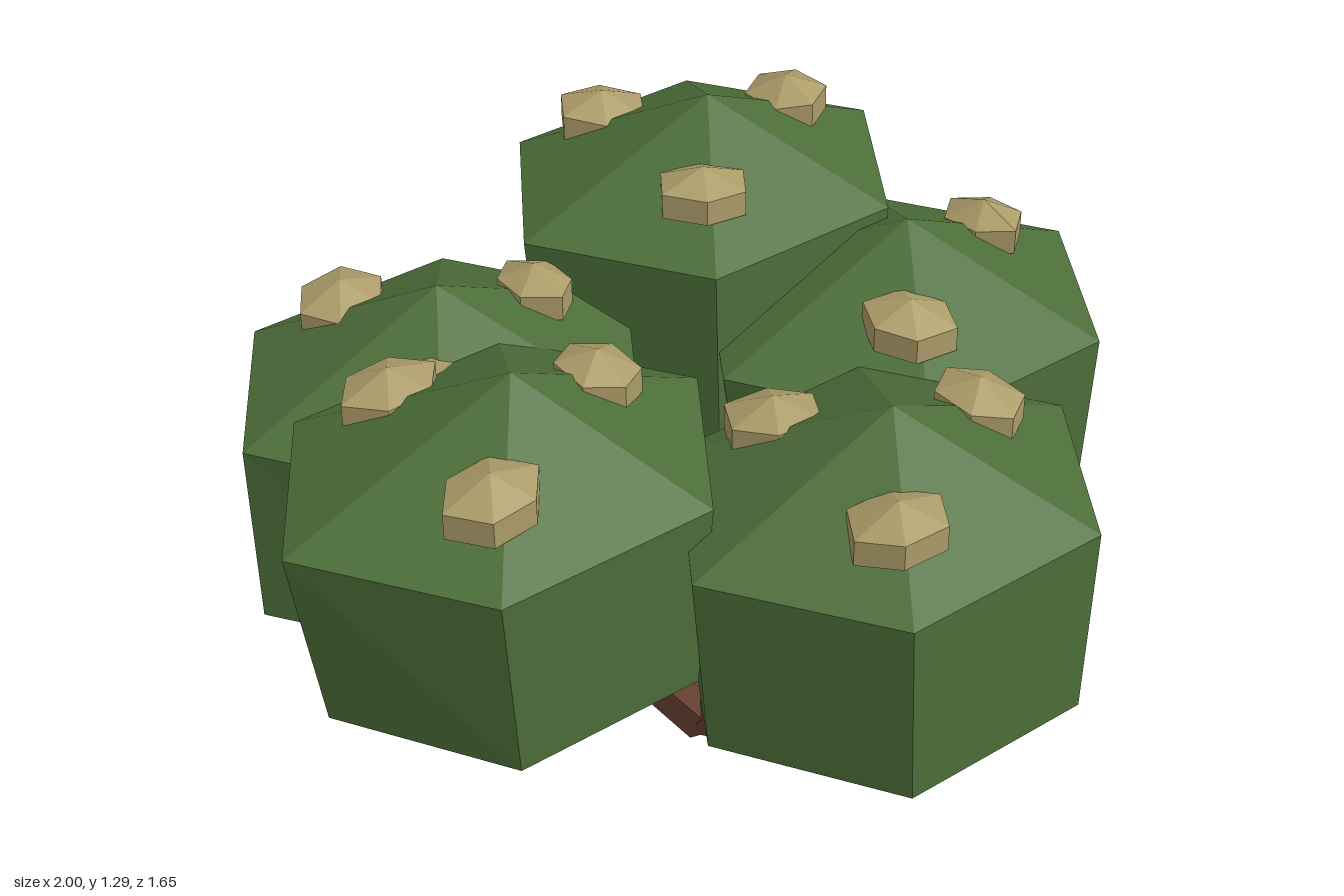
import * as THREE from 'three';

const leafGreen = new THREE.MeshStandardMaterial({ color: 0x4c6e39 });
const barkBrown = new THREE.MeshStandardMaterial({ color: 0x6a4333 });
const blossomTan = new THREE.MeshStandardMaterial({ color: 0xac9c69 });
for (const m of [leafGreen, barkBrown, blossomTan]) m.flatShading = true;

const RING = Math.sin(Math.PI / 3); // ring radius of a three-band sphere
const ROOT = new THREE.Vector3(0, 0.025, -0.045);

// centre, half width, half depth, height radius,
// lower half: x scale, z scale, z shift; peak: x and z shift of the top point
const crowns = [
  { c: [0.045, 0.738, 0.47], rx: 0.457, rz: 0.345, ry: 0.406, low: [0.93, 1, 0.005], peak: [0, 0.01] },
  { c: [-0.535, 0.81, 0.04], rx: 0.465, rz: 0.352, ry: 0.405, low: [0.88, 0.97, 0], peak: [0.03, 0.01] },
  { c: [-0.38, 0.718, -0.4], rx: 0.46, rz: 0.355, ry: 0.406, low: [1, 0.95, 0], peak: [0, 0] },
  { c: [0.53, 0.698, -0.05], rx: 0.465, rz: 0.365, ry: 0.407, low: [0.9, 0.94, 0.02], peak: [0.01, 0.005] },
  { c: [0.335, 0.88, -0.478], rx: 0.455, rz: 0.348, ry: 0.405, low: [0.95, 0.95, 0.015], peak: [0, 0.025] },
];

// offset from the crown centre, half length, half breadth and turn of each clump
const clumps = [
  { x: -0.092, z: -0.225, rx: 0.098, rz: 0.08, turn: 0 },
  { x: 0.23, z: 0, rx: 0.096, rz: 0.066, turn: Math.PI / 2 },
  { x: -0.135, z: 0.185, rx: 0.098, rz: 0.08, turn: Math.PI },
];

// Six-sided, three-band ball; move() returns the new place of each vertex
function facetedBall(move) {
  const g = new THREE.SphereGeometry(1, 6, 3);
  const p = g.attributes.position;
  for (let i = 0; i < p.count; i++) {
    // corners of the rings reach exactly 1 in x and z
    p.setXYZ(i, ...move(p.getX(i) / RING, p.getY(i), p.getZ(i) / RING / RING));
  }
  g.computeVertexNormals();
  return g;
}

// Crown with a slightly narrower lower ring
function crownGeometry({ rx, ry, rz, low, peak }) {
  return facetedBall((x, y, z) => {
    const [sx, sz, dz] = y < 0 ? low : [1, 1, 0];
    const [px, pz] = y > 0.9 ? peak : [0, 0];
    return [x * rx * sx + px, y * ry, z * rz * sz + dz + pz];
  });
}

// Slightly irregular clump with a low pointed top
function clumpGeometry({ rx, rz }, seed) {
  return facetedBall((x, y, z) => {
    const a = Math.atan2(z, x);
    const edge = Math.hypot(x, z) > 0.1 ? 1 : 0;
    const r = 1 + 0.07 * Math.sin(2 * a + seed * 1.7);
    const h = y > 0.9 ? 0.064 : y * 0.054;
    return [x * rx * r, h + edge * 0.008 * Math.sin(a + seed), z * rz * r];
  });
}

// Height of the crown's sloping roof at a local offset
function roofHeight({ rx, ry, rz }, x, z) {
  const ax = Math.abs(x) / rx, az = Math.abs(z) / rz;
  return ry - ry / 2 * Math.max(az, ax + az / 2);
}

// Five-sided branch running from the root into a crown
function branch(target) {
  const dir = target.clone().sub(ROOT);
  const mesh = new THREE.Mesh(new THREE.CylinderGeometry(0.038, 0.052, dir.length(), 5), barkBrown);
  mesh.position.copy(ROOT).addScaledVector(dir, 0.5);
  mesh.quaternion.setFromUnitVectors(new THREE.Vector3(0, 1, 0), dir.normalize());
  mesh.name = 'branch';
  return mesh;
}

export function createModel() {
  const bush = new THREE.Group();
  bush.name = 'bush';
  crowns.forEach((crown, i) => {
    const centre = new THREE.Vector3(...crown.c);
    bush.add(branch(centre));

    const cluster = new THREE.Group();
    cluster.name = 'leafCluster';
    cluster.position.copy(centre);
    const leaves = new THREE.Mesh(crownGeometry(crown), leafGreen);
    leaves.name = 'leafCrown';
    cluster.add(leaves);

    clumps.forEach((clump, j) => {
      const mesh = new THREE.Mesh(clumpGeometry(clump, i + j * 2), blossomTan);
      mesh.position.set(clump.x, roofHeight(crown, clump.x, clump.z), clump.z);
      mesh.rotation.y = clump.turn;
      mesh.name = 'blossomClump';
      cluster.add(mesh);
    });
    bush.add(cluster);
  });
  return bush;
}
